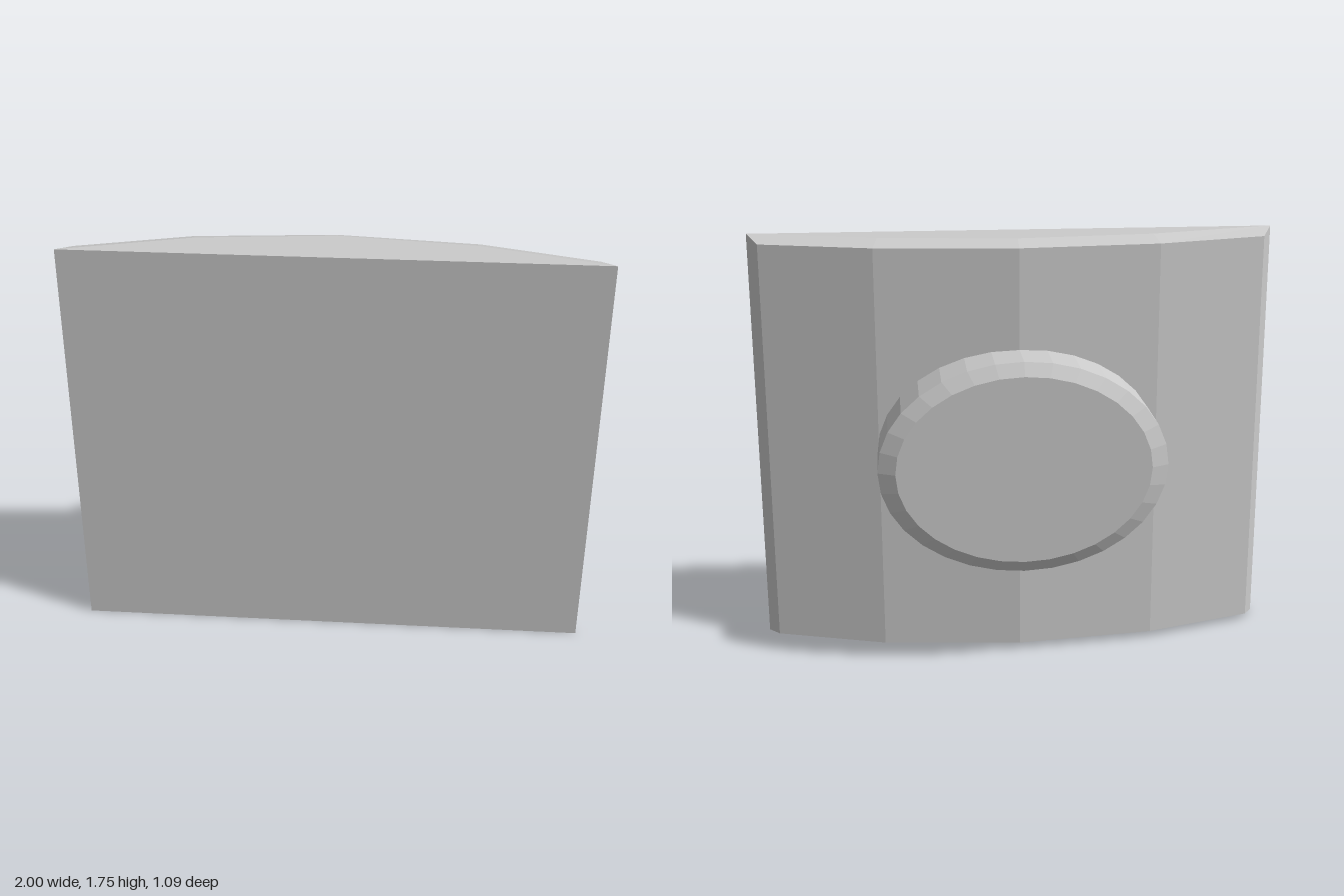
import * as THREE from 'three';

const material = new THREE.MeshStandardMaterial({ color: 0xcccccc, flatShading: true });

// Mirrors a half outline (+x end to the middle) into a full one
const mirror = (half) => [...half, ...half.slice(0, -1).reverse().map(([x, z]) => [-x, z])];

// Lofts equal-length [x, z] outlines stacked at given heights, with end caps
function loft(layers) {
  const pos = [];
  const tri = (a, b, c) => {
    const area = b.clone().sub(a).cross(c.clone().sub(a)).length();
    if (area > 1e-8) for (const p of [a, b, c]) pos.push(p.x, p.y, p.z);
  };
  const rings = layers.map(([y, pts]) => pts.map(([x, z]) => new THREE.Vector3(x, y, z)));
  const n = rings[0].length;
  for (let k = 0; k < rings.length - 1; k++) {
    const lo = rings[k], hi = rings[k + 1];
    for (let i = 0; i < n; i++) {
      const j = (i + 1) % n;
      tri(lo[i], lo[j], hi[j]);
      tri(lo[i], hi[j], hi[i]);
    }
  }
  const bottom = rings[0], top = rings[rings.length - 1];
  for (let i = 1; i < n - 1; i++) {
    tri(top[0], top[i], top[i + 1]);
    tri(bottom[0], bottom[i + 1], bottom[i]);
  }
  const geometry = new THREE.BufferGeometry();
  geometry.setAttribute('position', new THREE.Float32BufferAttribute(pos, 3));
  geometry.computeVertexNormals();
  return geometry;
}

export function createModel() {
  const model = new THREE.Group();
  model.name = 'panelWithBoss';

  // Turned assembly: flat face at local z = 0, bulging back towards -z
  const assembly = new THREE.Group();
  assembly.name = 'turnedPanel';
  assembly.rotation.y = -0.391;
  assembly.position.z = 0.1275;
  model.add(assembly);

  // Panel with a faceted, bowed back and bevelled top and bottom edges
  const full = mirror([[1.081, 0], [1.03, -0.103], [0.573, -0.24], [0, -0.297]]);
  const inset = mirror([[1.081, 0], [1.081, 0], [0.555, -0.16], [0, -0.222]]);
  const panel = new THREE.Mesh(
    loft([[0, inset], [0.027, full], [1.723, full], [1.75, inset]]),
    material
  );
  panel.name = 'panel';
  assembly.add(panel);

  // Oval boss on the back, with a chamfered rim
  const profile = [[0, 0.2], [1, 0.2], [1, 0.487], [0.88, 0.52], [0, 0.52]];
  const bossGeometry = new THREE.LatheGeometry(profile.map(([r, h]) => new THREE.Vector2(r, h)), 32);
  bossGeometry.rotateX(-Math.PI / 2);
  bossGeometry.scale(0.58, 0.4375, 1);
  const boss = new THREE.Mesh(bossGeometry, material);
  boss.name = 'boss';
  boss.position.y = 0.877;
  assembly.add(boss);

  return model;
}
